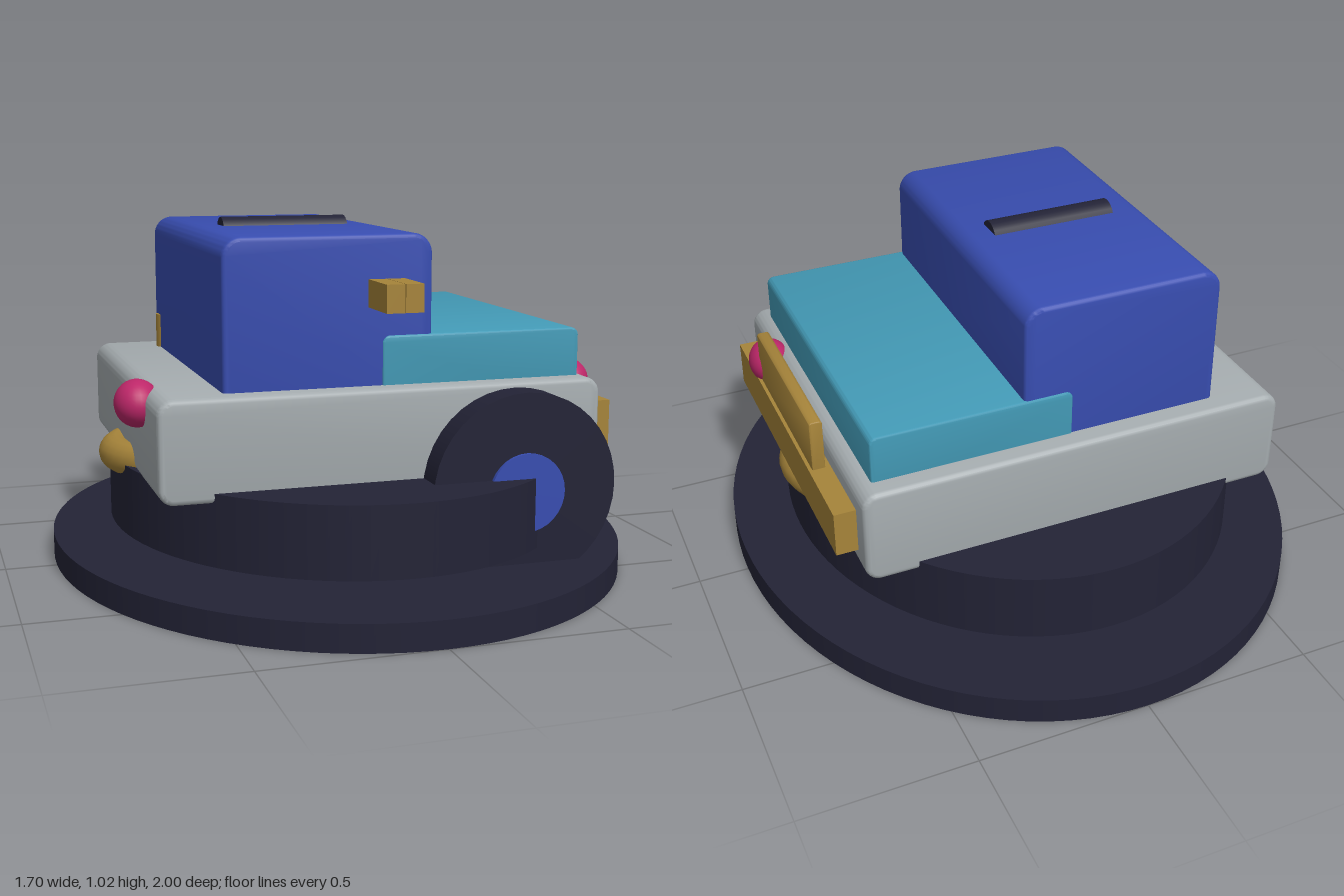
import * as THREE from 'three';
import { toCreasedNormals } from 'three/addons/utils/BufferGeometryUtils.js';

const material = (name, color) => {
  const m = new THREE.MeshStandardMaterial({ color });
  m.name = name;
  return m;
};

// Block from min/max corners: rounded in the xy outline, finely bevelled front and back
function roundedBlock([x0, x1], [y0, y1], [z0, z1], r, bevel) {
  const w = (x1 - x0) / 2 - bevel, h = (y1 - y0) / 2 - bevel, c = Math.max(r - bevel, 0.004);
  const s = new THREE.Shape();
  s.moveTo(-w + c, -h);
  s.lineTo(w - c, -h);
  s.absarc(w - c, -h + c, c, -Math.PI / 2, 0);
  s.absarc(w - c, h - c, c, 0, Math.PI / 2);
  s.absarc(-w + c, h - c, c, Math.PI / 2, Math.PI);
  s.absarc(-w + c, -h + c, c, Math.PI, Math.PI * 1.5);
  const g = new THREE.ExtrudeGeometry(s, {
    depth: z1 - z0 - bevel * 2, bevelEnabled: true, bevelThickness: bevel,
    bevelSize: bevel, bevelSegments: 3, curveSegments: 6,
  });
  g.translate((x0 + x1) / 2, (y0 + y1) / 2, z0 + bevel);
  return toCreasedNormals(g, 0.6);
}

// Plain block from min/max corners
function block([x0, x1], [y0, y1], [z0, z1]) {
  return new THREE.BoxGeometry(x1 - x0, y1 - y0, z1 - z0)
    .translate((x0 + x1) / 2, (y0 + y1) / 2, (z0 + z1) / 2);
}

// Upright oval disc
function ovalDisc(rx, rz, y0, y1) {
  return new THREE.CylinderGeometry(1, 1, y1 - y0, 96)
    .scale(rx, 1, rz).translate(0, (y0 + y1) / 2, 0);
}

export function createModel() {
  const dark = material('dark rubber', 0x232336);
  const blue = material('cab blue', 0x384db0);
  const teal = material('hood teal', 0x439ab6);
  const grey = material('body grey', 0xa5acaf);
  const gold = material('trim gold', 0xa6843a);
  const pink = material('lamp pink', 0xbd2769);

  const model = new THREE.Group();
  model.name = 'toyCar';
  const add = (name, geometry, mat) => {
    const mesh = new THREE.Mesh(geometry, mat);
    mesh.name = name;
    model.add(mesh);
    return mesh;
  };

  // Stand
  add('base', ovalDisc(0.85, 1, 0, 0.077), dark);
  add('turntable', ovalDisc(0.675, 0.793, 0.12, 0.323), dark);

  // Body, cab and hood
  add('body', roundedBlock([-0.64, 0.637], [0.295, 0.58], [-0.55, 0.545], 0.045, 0.015), grey);
  add('cab', roundedBlock([-0.45, 0.145], [0.5, 0.996], [-0.487, 0.485], 0.055, 0.012), blue);
  add('hood', roundedBlock([0, 0.592], [0.5, 0.718], [-0.491, 0.489], 0.022, 0.006), teal);

  // Roof bar
  add('roofBar', new THREE.CylinderGeometry(0.049, 0.049, 0.38, 24)
    .rotateZ(Math.PI / 2).translate(-0.15, 0.972, 0), dark);

  // Wheel and hub on the front side
  add('wheel', new THREE.CylinderGeometry(0.273, 0.273, 0.147, 40)
    .rotateX(Math.PI / 2).translate(0.373, 0.291, 0.5555), dark);
  add('hub', new THREE.CylinderGeometry(0.112, 0.112, 0.1, 32)
    .rotateX(Math.PI / 2).translate(0.375, 0.282, 0.59), blue);

  // Bumper and grille
  add('bumper', block([0.63, 0.7], [0.365, 0.5], [-0.485, 0.485]), gold);
  add('grille', roundedBlock([0.652, 0.69], [0.48, 0.655], [-0.265, 0.268], 0.01, 0.003), gold);

  // Oval hoop showing at both ends of the body
  add('hoop', new THREE.TorusGeometry(0.665, 0.05, 16, 72)
    .rotateX(Math.PI / 2).scale(1, 1, 0.56).translate(0, 0.33, 0), gold);

  // Lamps
  for (const side of [-1, 1]) {
    const lamp = add(side > 0 ? 'leftLamp' : 'rightLamp', new THREE.SphereGeometry(1, 28, 18), pink);
    lamp.scale.set(0.064, 0.067, 0.076);
    lamp.position.set(side * 0.65, 0.533, 0.3);
  }

  // Floating twin ornament
  add('ornamentRight', block([-0.054, -0.003], [0.802, 0.878], [0.522, 0.67]), gold);
  add('ornamentLeft', block([-0.001, 0.05], [0.802, 0.878], [0.522, 0.67]), gold);

  // Short pipe set into the cab wall
  add('pipe', new THREE.CylinderGeometry(0.04, 0.04, 0.16, 20).translate(-0.42, 0.605, -0.43), gold);

  return model;
}
